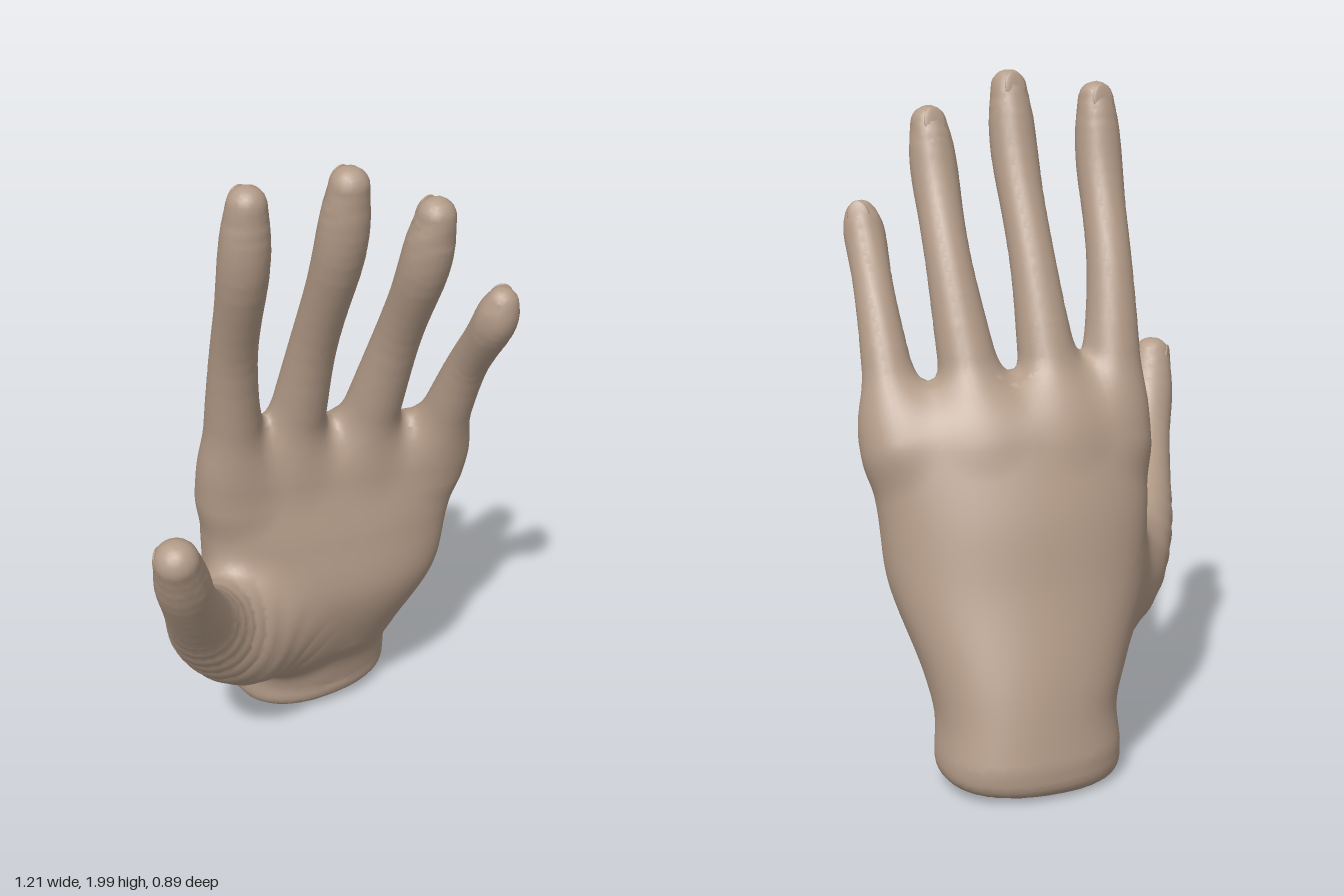
import * as THREE from 'three';

// Palm and wrist cross-sections: y | centre x, half width, centre z, half depth, tilt, arch
const SECTIONS = [
  [0.10, 0.235, 0.270, -0.236, 0.206, 0.000, 0.00],
  [0.20, 0.228, 0.265, -0.211, 0.208, 0.000, 0.00],
  [0.30, 0.213, 0.290, -0.173, 0.222, 0.008, 0.00],
  [0.55, 0.190, 0.368, -0.095, 0.227, 0.045, 0.02],
  [0.75, 0.180, 0.390, -0.080, 0.195, 0.063, 0.04],
  [0.95, 0.187, 0.405, -0.062, 0.145, 0.080, 0.06],
  [1.15, 0.188, 0.405, -0.035, 0.110, 0.090, 0.07],
];

// Radii along a digit, base to tip, evenly spaced on its centre line
const FINGER_RADII = [0.1, 0.084, 0.069, 0.066, 0.07, 0.067, 0.054];
const THUMB_RADII = [0.13, 0.165, 0.132, 0.096, 0.079, 0.077, 0.062];

// A smooth curve of rows of numbers against rising positions
const interpolate = (at, rows) =>
  new THREE.CubicInterpolant(new Float32Array(at), new Float32Array(rows.flat()), rows[0].length);

// A digit is a smooth centre line with radii; back is the way its nail faces
function digit(name, path, radii, back, blend) {
  const curve = new THREE.CatmullRomCurve3(path.map((p) => new THREE.Vector3(...p)));
  const radiusAt = interpolate(radii.map((r, i) => i / (radii.length - 1)), radii.map((r) => [r]));
  const joints = [];
  for (let i = 0; i <= 18; i++) {
    joints.push([...curve.getPoint(i / 18).toArray(), radiusAt.evaluate(i / 18)[0]]);
  }
  return { name, joints, back: new THREE.Vector3(...back), blend };
}
const finger = (name, path, scale = 1, back = [0, 0, -1]) =>
  digit(name, path, FINGER_RADII.map((r) => r * scale), back, 0.075);

const thumb = digit('thumb',
  [[0, 0.36, -0.07], [-0.28, 0.575, 0.075], [-0.455, 0.86, 0.275], [-0.54, 1.083, 0.385]],
  THUMB_RADII, [-0.75, 0, -0.65], 0.13);
const indexFinger = finger('indexFinger',
  [[-0.115, 0.92, -0.095], [-0.166, 1.4, 0.012], [-0.195, 1.72, 0.132], [-0.2, 1.912, 0.165]]);
const middleFinger = finger('middleFinger',
  [[0.06, 0.92, -0.09], [0.062, 1.4, 0.055], [0.053, 1.75, 0.205], [0.05, 1.944, 0.25]]);
const ringFinger = finger('ringFinger',
  [[0.275, 0.92, -0.045], [0.298, 1.4, 0.125], [0.285, 1.68, 0.263], [0.286, 1.838, 0.305]]);
const littleFinger = finger('littleFinger',
  [[0.5, 0.92, 0.035], [0.498, 1.3, 0.2], [0.48, 1.5, 0.335], [0.483, 1.569, 0.36]],
  0.88, [0.5, 0, -0.85]);

const DIGITS = [thumb, indexFinger, middleFinger, ringFinger, littleFinger];
const PARTS = ['palm', ...DIGITS.map((d) => d.name)];

// Smooth union and intersection of two distances
const smin = (a, b, k) => {
  const h = Math.max(k - Math.abs(a - b), 0) / k;
  return Math.min(a, b) - h * h * k * 0.25;
};
const smax = (a, b, k) => -smin(-a, -b, k);

const sectionAt = interpolate(SECTIONS.map((s) => s[0]), SECTIONS.map((s) => s.slice(1)));

// Distance to the palm: bent superellipse sections, rounded knuckle end, flat wrist cut
function palmDistance(x, y, z) {
  const [cx, rx, cz, rz, tilt, arch] = sectionAt.evaluate(y);
  const n = 2.25, u = (x - cx) / rx;
  const bend = THREE.MathUtils.clamp(u, -1.2, 1.2);
  const w = (z - cz - tilt * bend - arch * bend * bend) / rz;
  const au = Math.abs(u), aw = Math.abs(w);
  const q = Math.pow(au ** n + aw ** n, 1 / n);
  let d = -0.1;
  if (q > 0.4) {
    d = (q - 1) * q ** (n - 1) / Math.hypot(au ** (n - 1) / rx, aw ** (n - 1) / rz);
  }
  d = smax(d, y - 1.115 + 0.05 * x, 0.16);
  return smax(d, 0.014 + 0.06 * (z + 0.24) + 0.04 * (x - 0.23) - y, 0.06);
}

// Distance to a digit: a chain of tapered capsules
function digitDistance(joints, x, y, z) {
  let d = 9;
  for (let i = 0; i + 1 < joints.length; i++) {
    const a = joints[i], b = joints[i + 1];
    const ex = b[0] - a[0], ey = b[1] - a[1], ez = b[2] - a[2];
    const px = x - a[0], py = y - a[1], pz = z - a[2];
    const along = (px * ex + py * ey + pz * ez) / (ex * ex + ey * ey + ez * ez);
    const t = Math.min(Math.max(along, 0), 1);
    const dx = px - ex * t, dy = py - ey * t, dz = pz - ez * t;
    d = Math.min(d, Math.sqrt(dx * dx + dy * dy + dz * dz) - a[3] - (b[3] - a[3]) * t);
  }
  return d;
}

const partDistances = (x, y, z) =>
  [palmDistance(x, y, z), ...DIGITS.map((g) => digitDistance(g.joints, x, y, z))];

// The whole hand: each digit blended into the palm
function handDistance(x, y, z) {
  let d = palmDistance(x, y, z);
  for (const g of DIGITS) d = smin(d, digitDistance(g.joints, x, y, z), g.blend);
  return d;
}

function gradient([x, y, z]) {
  const e = 0.005;
  return new THREE.Vector3(
    handDistance(x + e, y, z) - handDistance(x - e, y, z),
    handDistance(x, y + e, z) - handDistance(x, y - e, z),
    handDistance(x, y, z + e) - handDistance(x, y, z - e)).divideScalar(2 * e);
}

// Skin the blended form on a regular grid; returns one smooth geometry per part
function skinGeometries() {
  const step = 0.02, min = [-0.67, -0.07, -0.53], size = [68, 109, 54];
  const stride = [1, size[0], size[0] * size[1]];
  const field = new Float32Array(size[0] * size[1] * size[2]);
  const point = (i, j, k) => [min[0] + i * step, min[1] + j * step, min[2] + k * step];
  const eachNode = (visit) => {
    for (let k = 0, n = 0; k < size[2]; k++)
      for (let j = 0; j < size[1]; j++)
        for (let i = 0; i < size[0]; i++, n++) visit(n, i, j, k);
  };
  eachNode((n, i, j, k) => { field[n] = handDistance(...point(i, j, k)); });

  // Every grid edge crossing the skin makes a quad between its four cells
  const cells = new Map(), faces = PARTS.map(() => []);
  eachNode((n, i, j, k) => {
    for (let a = 0; a < 3; a++) {
      if ([i, j, k][a] === size[a] - 1) continue;
      const f0 = field[n], f1 = field[n + stride[a]];
      if ((f0 < 0) === (f1 < 0)) continue;
      const p = point(i, j, k);
      p[a] += step * f0 / (f0 - f1);
      const sb = stride[(a + 1) % 3], sc = stride[(a + 2) % 3];
      const quad = [n, n - sb, n - sb - sc, n - sc];
      for (const id of quad) {
        const c = cells.get(id) ?? { sum: [0, 0, 0], count: 0 };
        p.forEach((v, m) => { c.sum[m] += v; });
        c.count++;
        cells.set(id, c);
      }
      if (f0 >= 0) quad.reverse();
      const near = partDistances(...p);
      const [q0, q1, q2, q3] = quad;
      faces[near.indexOf(Math.min(...near))].push(q0, q1, q2, q0, q2, q3);
    }
  });

  // Settle each vertex onto the surface and take its normal from the form
  for (const c of cells.values()) {
    c.position = c.sum.map((v) => v / c.count);
    for (let s = 0; s < 2; s++) {
      const g = gradient(c.position);
      const move = THREE.MathUtils.clamp(
        handDistance(...c.position) / Math.max(g.lengthSq(), 0.2), -0.008, 0.008);
      c.position = c.position.map((v, m) => v - g.getComponent(m) * move);
    }
    c.normal = gradient(c.position).normalize().toArray();
  }
  return faces.map((ids) => {
    const geometry = new THREE.BufferGeometry();
    for (const key of ['position', 'normal']) {
      geometry.setAttribute(key, new THREE.Float32BufferAttribute(
        ids.flatMap((id) => cells.get(id)[key]), 3));
    }
    return geometry;
  });
}

// A thin domed nail lying along the back of the last joint
function makeNail({ name, joints, back }, material) {
  const [before, last] = joints.slice(-2);
  const tip = new THREE.Vector3(...last);
  const along = tip.clone().sub(new THREE.Vector3(...before)).normalize();
  const out = back.clone().addScaledVector(along, -back.dot(along)).normalize();
  const side = new THREE.Vector3().crossVectors(along, out);
  const nail = new THREE.Mesh(new THREE.SphereGeometry(1, 20, 12), material);
  nail.name = `${name}Nail`;
  nail.scale.set(0.034, 0.05, 0.008);
  nail.quaternion.setFromRotationMatrix(new THREE.Matrix4().makeBasis(side, along, out));
  nail.position.copy(tip).addScaledVector(out, last[3] * 0.86).addScaledVector(along, -0.012);
  return nail;
}

export function createModel() {
  const hand = new THREE.Group();
  hand.name = 'hand';
  const skin = new THREE.MeshStandardMaterial({ color: 0xb39b88 });
  skin.name = 'skin';
  skinGeometries().forEach((geometry, i) => {
    const mesh = new THREE.Mesh(geometry, skin);
    mesh.name = PARTS[i];
    hand.add(mesh);
  });
  for (const d of DIGITS) hand.add(makeNail(d, skin));
  return hand;
}
